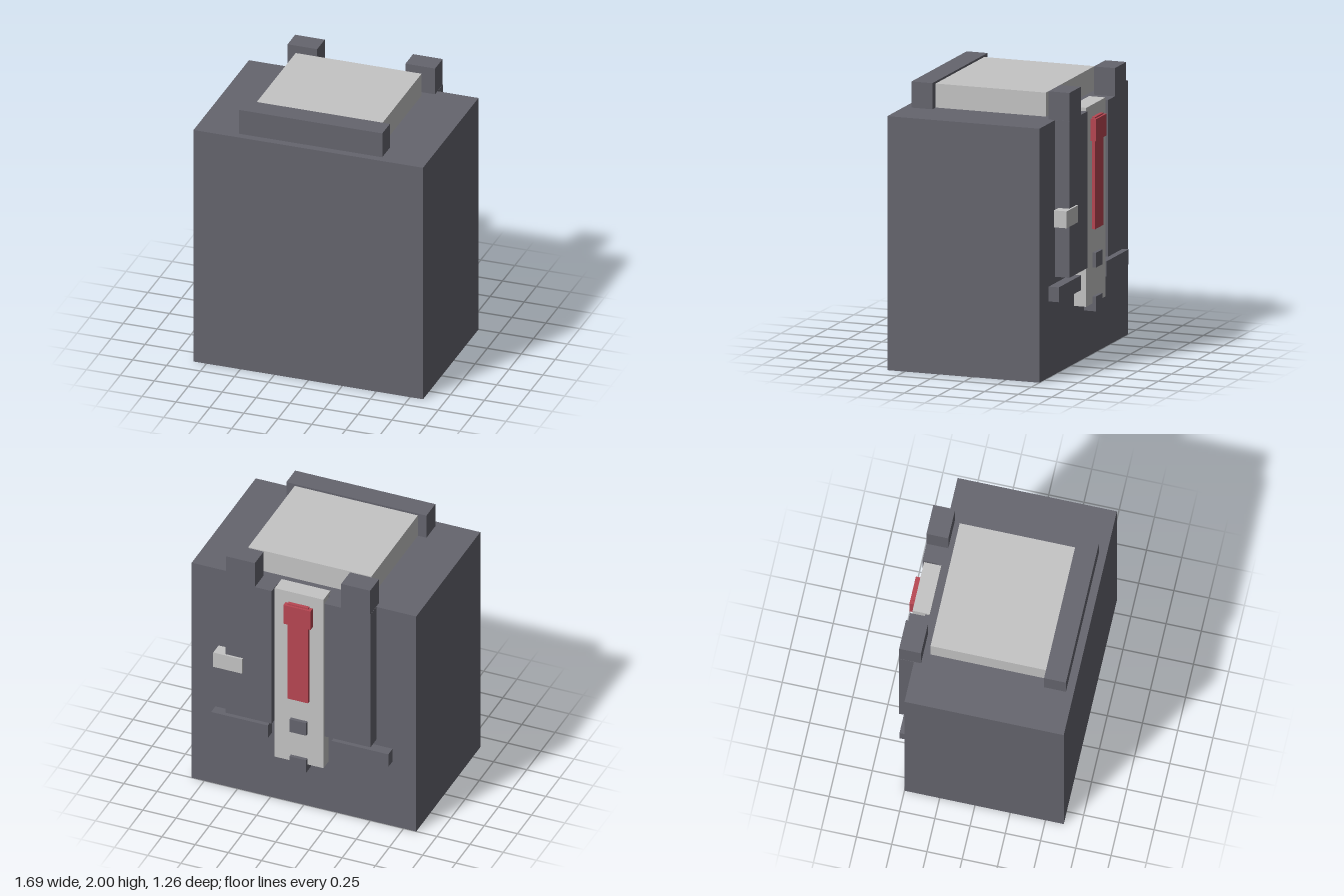
import * as THREE from 'three';

export function createModel() {
  const model = new THREE.Group();
  model.name = 'backpackBox';

  const mat = (name, color) => {
    const m = new THREE.MeshStandardMaterial({ color });
    m.name = name;
    return m;
  };
  const dark = mat('darkGrey', 0x65656e);
  const light = mat('lightGrey', 0xc4c4c4);
  const red = mat('red', 0xb84652);

  // Adds a box given its extents on each axis
  const block = (name, material, [x0, x1], [y0, y1], [z0, z1]) => {
    const mesh = new THREE.Mesh(new THREE.BoxGeometry(x1 - x0, y1 - y0, z1 - z0), material);
    mesh.position.set((x0 + x1) / 2, (y0 + y1) / 2, (z0 + z1) / 2);
    mesh.name = name;
    model.add(mesh);
  };

  // Main body with the raised lid and front rail on top
  block('body', dark, [-0.845, 0.845], [0, 1.8], [-0.5, 0.63]);
  block('topPlate', light, [-0.465, 0.462], [1.79, 1.97], [-0.4, 0.425]);
  block('frontRail', dark, [-0.53, 0.525], [1.79, 1.985], [0.42, 0.575]);

  // Mirrored back panels, corner posts and lower bars
  for (const [side, s] of [['left', 1], ['right', -1]]) {
    const span = (a, b) => (s > 0 ? [a, b] : [-b, -a]);
    block(side + 'BackPanel', dark, span(0.198, 0.545), [0.69, 1.8], [-0.605, -0.49]);
    block(side + 'Post', dark, span(0.325, 0.543), [1.8, 2], [-0.605, -0.45]);
    block(side + 'LowerBar', dark, span(0.24, 0.667), [0.54, 0.645], [-0.575, -0.49]);
  }

  // Central strip with its red handle and two studs
  block('centreStrip', light, [-0.185, 0.182], [0.41, 1.82], [-0.59, -0.468]);
  block('handleShaft', red, [-0.08, 0.076], [0.94, 1.735], [-0.615, -0.58]);
  block('handleHead', red, [-0.105, 0.1], [1.57, 1.725], [-0.63, -0.58]);
  block('upperStud', dark, [-0.065, 0.06], [0.665, 0.77], [-0.615, -0.53]);
  block('lowerStud', dark, [-0.065, 0.06], [0.355, 0.46], [-0.615, -0.525]);

  // Side latch on the left panel
  block('latch', light, [0.415, 0.632], [1.06, 1.18], [-0.62, -0.525]);

  return model;
}
